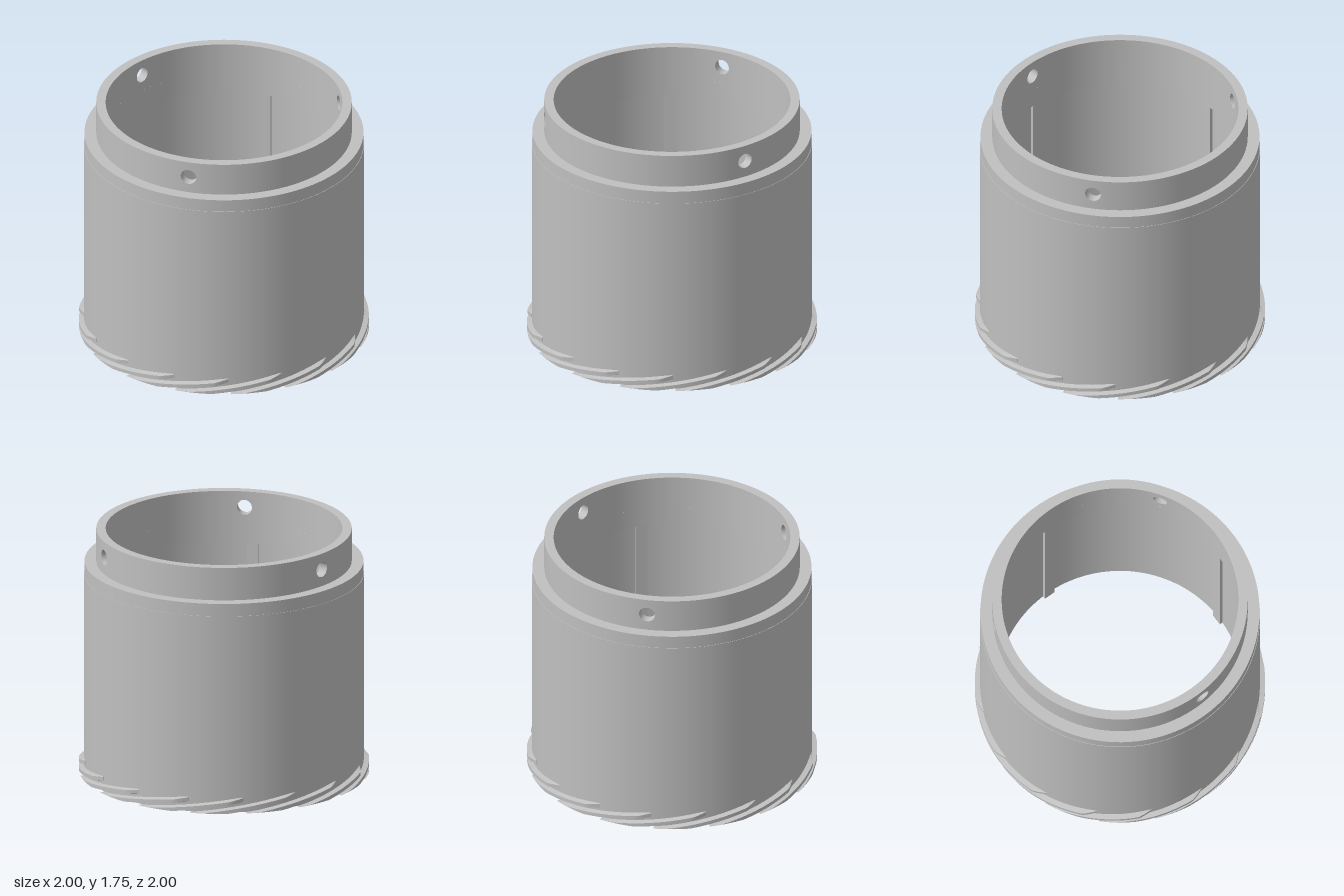
import * as THREE from 'three';
import { mergeGeometries, toCreasedNormals } from 'three/addons/utils/BufferGeometryUtils.js';

const BORE = 0.845, BODY = 0.964, COLLAR = 0.88, LIP = 0.815;
const SHOULDER_Y = 1.51, TOP_Y = 1.745, STEP_Y = 1.375;
const rad = THREE.MathUtils.degToRad;

// Revolves each straight run of a profile separately, so corners stay sharp.
function revolve(profile, start = 0, sweep = 360, segments = 128) {
  const runs = [];
  for (let i = 0; i < profile.length - 1; i++) {
    const pair = [profile[i], profile[i + 1]].map(([r, y]) => new THREE.Vector2(r, y));
    runs.push(new THREE.LatheGeometry(pair, segments, rad(start), rad(sweep)));
  }
  return mergeGeometries(runs);
}

// A short stretch of collar with a round hole, bent from a flat plate.
function drilledPanel(centre, sweep) {
  const half = rad(sweep) / 2, mid = (LIP + COLLAR) / 2, steps = 8;
  const outline = [];
  for (let i = 0; i <= steps; i++) outline.push(new THREE.Vector2((-half + 2 * half * i / steps) * mid, SHOULDER_Y));
  for (let i = steps; i >= 0; i--) outline.push(new THREE.Vector2((-half + 2 * half * i / steps) * mid, TOP_Y));
  const shape = new THREE.Shape(outline);
  shape.holes.push(new THREE.Path().absarc(0, 1.63, 0.054, 0, Math.PI * 2, true));
  const geo = new THREE.ExtrudeGeometry(shape, { depth: COLLAR - LIP, bevelEnabled: false, curveSegments: 24 });
  const p = geo.attributes.position, n = geo.attributes.normal;
  for (let i = 0; i < p.count; i++) {
    const a = rad(centre) + p.getX(i) / mid, r = LIP + p.getZ(i);
    const s = Math.sin(a), c = Math.cos(a), nx = n.getX(i), nz = n.getZ(i);
    p.setXYZ(i, r * s, p.getY(i), r * c);
    n.setXYZ(i, nx * c + nz * s, n.getY(i), nz * c - nx * s);
  }
  return geo;
}

// One slanting thread ridge, cut off at the base plane and tapering at its top end.
function threadRidge() {
  const steps = 24, sweep = 44, pos = [], idx = [];
  for (let i = 0; i <= steps; i++) {
    const t = i / steps, a = rad((t - 1) * sweep), y = -0.025 + 0.113 * t;
    const crest = 1 - 0.034 * Math.max(0, (t - 0.88) / 0.12);
    const section = [[0.955, y - 0.024], [crest, y - 0.013], [crest, y + 0.013], [0.955, y + 0.022]];
    for (const [r, h] of section) pos.push(r * Math.sin(a), Math.max(0, h), r * Math.cos(a));
    if (i === steps) break;
    for (let j = 0; j < 4; j++) {
      const k = (j + 1) % 4, a0 = i * 4, b0 = a0 + 4;
      idx.push(a0 + j, b0 + j, b0 + k, a0 + j, b0 + k, a0 + k);
    }
  }
  const e = steps * 4;
  idx.push(0, 1, 2, 0, 2, 3, e, e + 2, e + 1, e, e + 3, e + 2);
  const geo = new THREE.BufferGeometry();
  geo.setAttribute('position', new THREE.Float32BufferAttribute(pos, 3));
  geo.setIndex(idx);
  return toCreasedNormals(geo, rad(20));
}

export function createModel() {
  const model = new THREE.Group();
  const grey = new THREE.MeshStandardMaterial({ color: 0xc0c0c0 });
  grey.name = 'plain grey';
  const add = (name, geo, parent = model) => {
    const mesh = new THREE.Mesh(geo, grey);
    mesh.name = name;
    parent.add(mesh);
    return mesh;
  };
  const group = (name) => {
    const g = new THREE.Group();
    g.name = name;
    model.add(g);
    return g;
  };

  // Main sleeve: outside wall up to the shoulder, and the stepped bore
  add('sleeveOuter', revolve([[BORE, 0], [BODY, 0], [BODY, 1.42], [0.961, 1.42], [0.961, SHOULDER_Y], [COLLAR, SHOULDER_Y]]));
  add('sleeveBore', revolve([[LIP, SHOULDER_Y], [LIP, STEP_Y], [BORE, STEP_Y], [BORE, 0]]));

  // Collar: three plain arcs alternating with three drilled panels
  const collar = group('collar'), panel = 12;
  for (let i = 0; i < 3; i++) {
    const centre = 58 + i * 120;
    add('collarHolePanel', drilledPanel(centre, panel), collar);
    const arc = [[COLLAR, SHOULDER_Y], [COLLAR, TOP_Y], [LIP, TOP_Y], [LIP, SHOULDER_Y]];
    add('collarArc', revolve(arc, centre + panel / 2, 120 - panel, 40), collar);
  }

  // Four upright ribs inside the bore
  const ribs = group('innerRibs');
  for (let i = 0; i < 4; i++) {
    const geo = new THREE.BoxGeometry(0.08, STEP_Y, 0.035);
    geo.translate(0, STEP_Y / 2, 0.8395);
    add('innerRib', geo, ribs).rotation.y = rad(24 + i * 90);
  }

  // Sixteen-start thread around the foot
  const thread = group('footThread'), ridge = threadRidge();
  for (let i = 0; i < 16; i++) add('threadRidge', ridge, thread).rotation.y = rad(23.4 + i * 22.5);

  return model;
}
